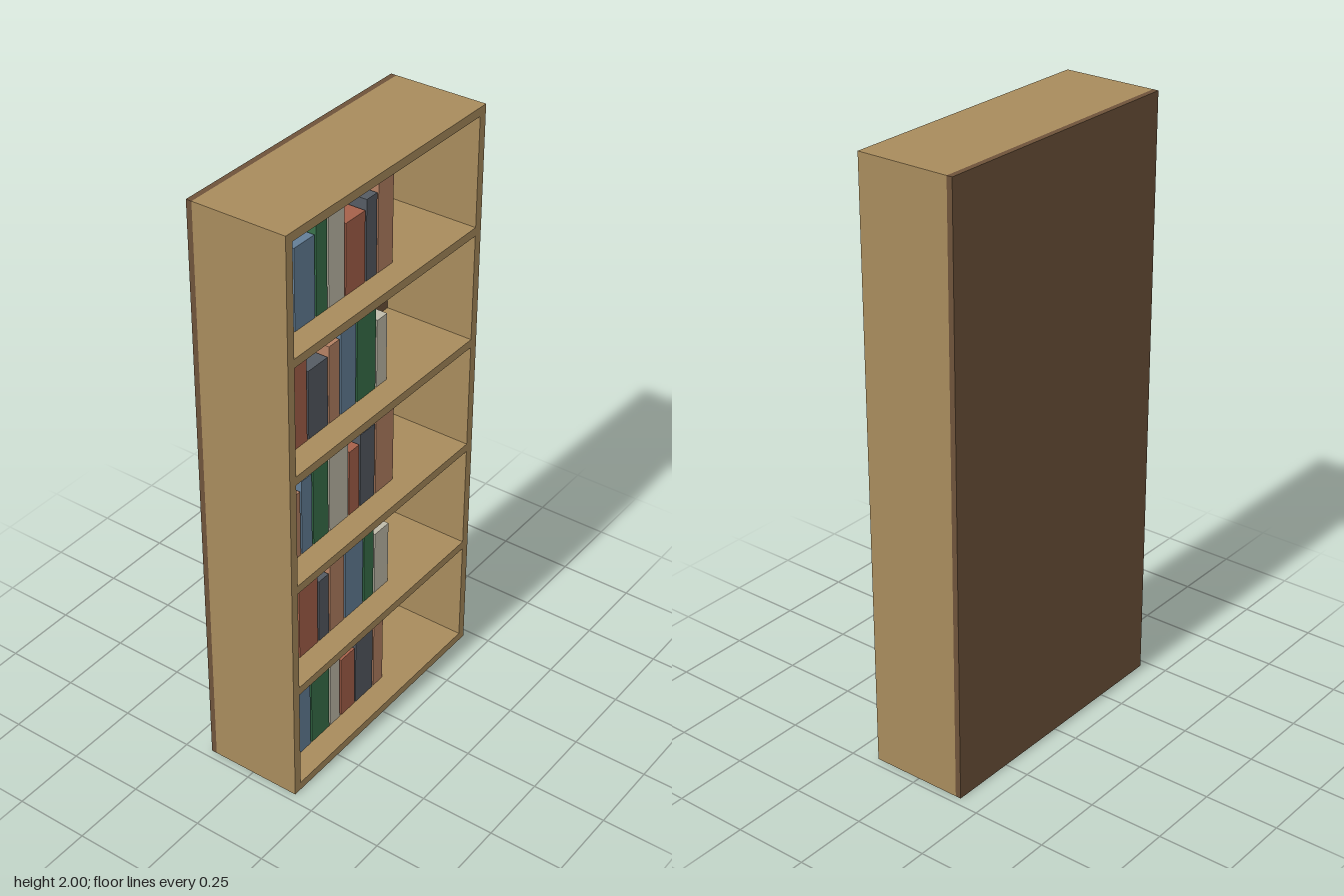
import * as THREE from 'three';

const mat = (name, color) => {
  const m = new THREE.MeshStandardMaterial({ color });
  m.name = name;
  return m;
};

export function createModel() {
  const wood = mat('light wood', 0xa88b5c);
  const darkWood = mat('dark wood', 0x6e533a);
  const covers = [
    mat('tan cover', 0xb48163),
    mat('blue cover', 0x647f97),
    mat('green cover', 0x38714a),
    mat('cream cover', 0xc0bbaa),
    mat('red cover', 0xa6614a),
    mat('slate cover', 0x555b63),
  ];
  const model = new THREE.Group();
  model.name = 'bookcase';

  // Box given by its minimum and maximum corners
  const box = (name, material, [x0, y0, z0], [x1, y1, z1], parent = model) => {
    const mesh = new THREE.Mesh(new THREE.BoxGeometry(x1 - x0, y1 - y0, z1 - z0), material);
    mesh.position.set((x0 + x1) / 2, (y0 + y1) / 2, (z0 + z1) / 2);
    mesh.name = name;
    parent.add(mesh);
  };

  const W = 0.473, H = 2, front = 0.167, back = -0.167, inner = -0.148, T = 0.029;
  const pitch = (H - T) / 5;

  // Case: back panel, sides, then bottom, shelves and top
  box('backPanel', darkWood, [-W, 0, back], [W, H, inner]);
  box('leftSide', wood, [W - T, 0, inner], [W, H, front]);
  box('rightSide', wood, [-W, 0, inner], [-W + T, H, front]);
  for (let i = 0; i <= 5; i++) {
    const name = i === 0 ? 'bottomBoard' : i === 5 ? 'topBoard' : `shelf${i}`;
    box(name, wood, [-W + T, i * pitch, inner], [W - T, i * pitch + T, front]);
  }

  // Books: widths, heights and colours cycle, shifted on each row
  const widths = [0.05, 0.073, 0.092];
  const heights = [0.233, 0.264, 0.295, 0.326];
  for (let row = 0; row < 5; row++) {
    const books = new THREE.Group();
    books.name = `bookRow${row + 1}`;
    model.add(books);
    const y = row * pitch + T;
    let x = -0.413;
    for (let i = 0; i < 7; i++) {
      const w = widths[(i + row) % 3];
      const h = heights[(i + 2 * row) % 4];
      box(`book${i + 1}`, covers[(i + 3 * row) % 6], [x, y, -0.12], [x + w, y + h, 0.085], books);
      x += w + 0.007;
    }
  }
  return model;
}
